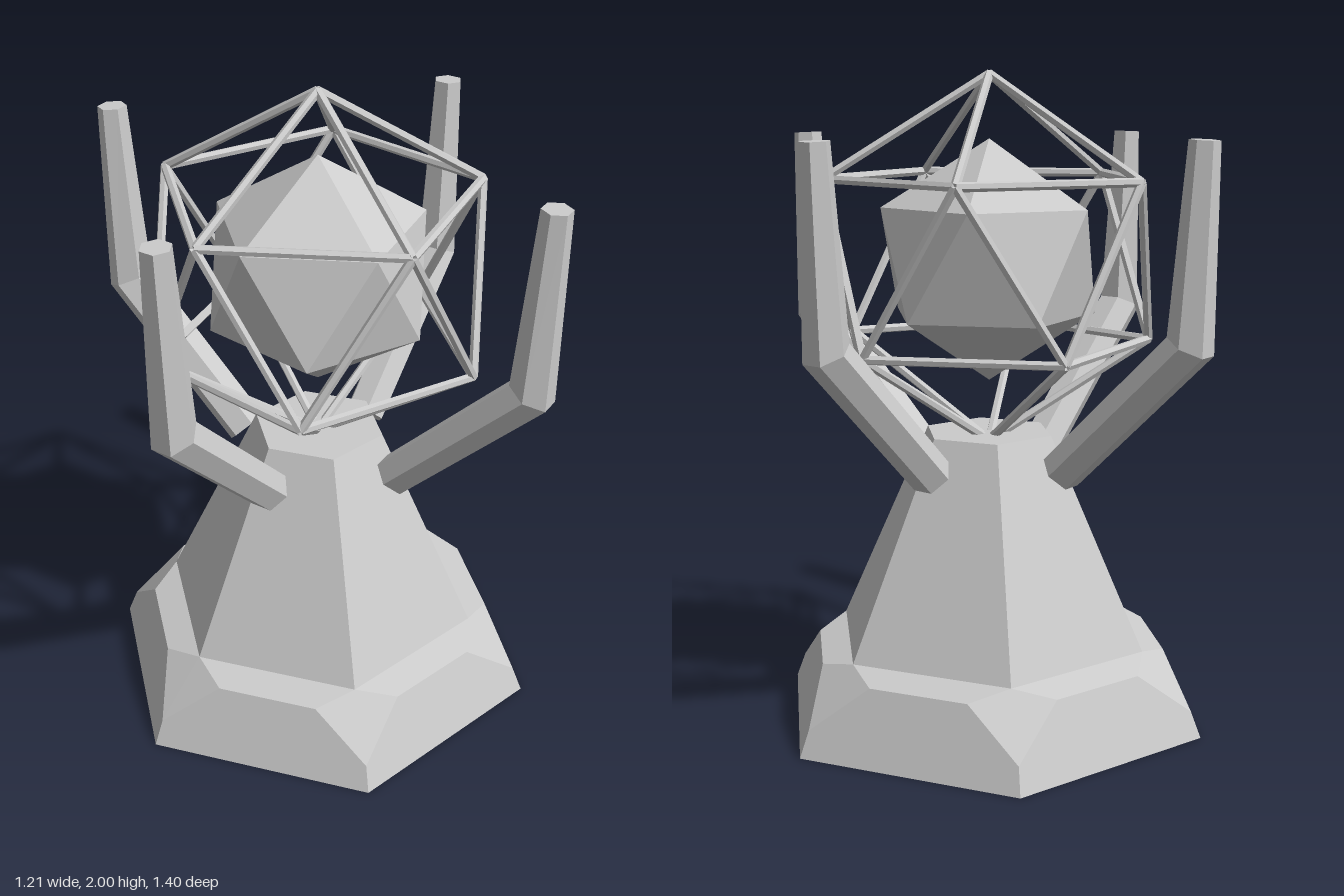
import * as THREE from 'three';
import { mergeGeometries } from 'three/addons/utils/BufferGeometryUtils.js';
import { ConvexGeometry } from 'three/addons/geometries/ConvexGeometry.js';

const V = (x, y, z) => new THREE.Vector3(x, y, z);
const material = new THREE.MeshStandardMaterial({ color: 0xcccccc, flatShading: true });

function part(name, geometry) {
  const mesh = new THREE.Mesh(geometry, material);
  mesh.name = name;
  return mesh;
}

// Hexagonal foot: sloping sides, bevelled corners, shallow top slope
function footGeometry() {
  const points = [];
  const corner = (i, r, y) => V(Math.sin(i * Math.PI / 3) * r, y, Math.cos(i * Math.PI / 3) * r);
  for (let i = 0; i < 6; i++) {
    points.push(corner(i, 0.7, 0), corner(i, 0.668, 0.08), corner(i, 0.51, 0.25));
    const a = corner(i, 0.612, 0.22), b = corner(i + 1, 0.612, 0.22);
    points.push(a.clone().lerp(b, 0.245), a.clone().lerp(b, 0.755));
  }
  return new ConvexGeometry(points);
}

// Bent hexagonal arm, lofted through mitred sections in the x-y plane
function armGeometry() {
  const path = [[0.27, 0.805, 0.066], [0.704, 1.23, 0.068], [0.734, 1.805, 0.045]];
  const dir = i => new THREE.Vector2(path[i + 1][0] - path[i][0], path[i + 1][1] - path[i][1]).normalize();
  const positions = [], index = [], n = 6;
  path.forEach(([x, y, r], k) => {
    const before = dir(Math.max(k - 1, 0)), after = dir(Math.min(k, path.length - 2));
    const t = before.clone().add(after).normalize();
    const stretch = 1 / t.dot(after);
    for (let i = 0; i < n; i++) {
      const a = i / n * Math.PI * 2, out = r * Math.sin(a) * stretch;
      positions.push(x + t.y * out, y - t.x * out, r * Math.cos(a));
    }
  });
  const top = (path.length - 1) * n;
  for (let i = 0; i < n; i++) {
    const j = (i + 1) % n;
    for (let k = 0; k < top; k += n) {
      index.push(k + i, k + j, k + n + j, k + i, k + n + j, k + n + i);
    }
    if (i > 0 && i < n - 1) index.push(0, j, i, top, top + i, top + j);
  }
  const geometry = new THREE.BufferGeometry();
  geometry.setAttribute('position', new THREE.Float32BufferAttribute(positions, 3));
  geometry.setIndex(index);
  const flat = geometry.toNonIndexed();
  flat.computeVertexNormals();
  return flat;
}

// Icosahedron corners standing on a point
function icoPoints(radius) {
  const points = [V(0, radius, 0), V(0, -radius, 0)];
  const ring = 2 * radius / Math.sqrt(5), h = radius / Math.sqrt(5);
  for (let i = 0; i < 10; i++) {
    const a = i * Math.PI / 5;
    points.push(V(Math.cos(a) * ring, i % 2 ? -h : h, Math.sin(a) * ring));
  }
  return points;
}

// Thin strut along every icosahedron edge
function cageGeometry(radius) {
  const points = icoPoints(radius), struts = [];
  points.forEach((a, i) => points.slice(i + 1).forEach(b => {
    const length = a.distanceTo(b);
    if (length > radius * 1.1) return;
    const strut = new THREE.CylinderGeometry(0.014, 0.014, length, 6);
    const turn = new THREE.Quaternion().setFromUnitVectors(V(0, 1, 0), b.clone().sub(a).normalize());
    strut.applyQuaternion(turn);
    const mid = a.clone().add(b).multiplyScalar(0.5);
    struts.push(strut.translate(mid.x, mid.y, mid.z));
  }));
  return mergeGeometries(struts);
}

export function createModel() {
  const model = new THREE.Group();
  model.name = 'orbPedestal';

  // Foot and tapering column
  model.add(part('foot', footGeometry()));
  const column = part('column', new THREE.CylinderGeometry(0.207, 0.51, 0.65, 6));
  column.position.y = 0.575;
  model.add(column);

  // Four diagonal arms
  const armShape = armGeometry();
  for (const sx of [1, -1]) for (const sz of [1, -1]) {
    const arm = part(`${sz > 0 ? 'front' : 'back'}${sx > 0 ? 'Left' : 'Right'}Arm`, armShape);
    arm.rotation.y = -Math.atan2(0.505 * sz, 0.53 * sx);
    model.add(arm);
  }

  // Floating core inside its open cage
  const core = part('core', new ConvexGeometry(icoPoints(0.367)));
  const cage = part('cage', cageGeometry(0.557));
  for (const mesh of [core, cage]) {
    mesh.position.set(0, 1.43, -0.013);
    model.add(mesh);
  }
  return model;
}
